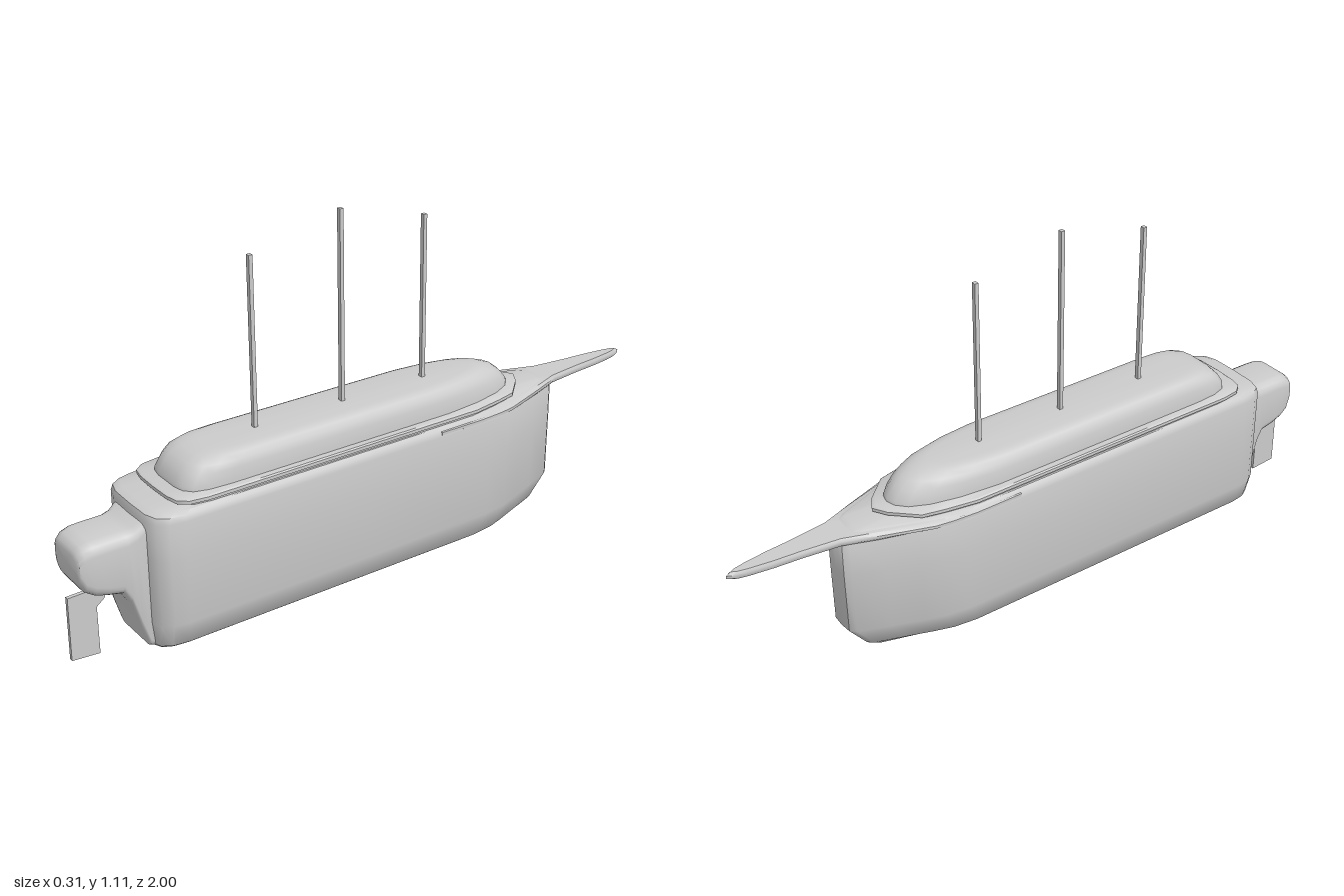
import * as THREE from 'three';
import { toCreasedNormals } from 'three/addons/utils/BufferGeometryUtils.js';

const material = new THREE.MeshStandardMaterial({ color: 0xcccccc });

// Skin a stack of closed rings of [x, y, z] points and cap both ends.
function loft(rings, crease = 0.75) {
  const n = rings[0].length;
  const pts = rings.flat();
  const index = [];
  for (let r = 0; r < rings.length - 1; r++) {
    for (let i = 0; i < n; i++) {
      const a = r * n + i, b = r * n + (i + 1) % n;
      index.push(a, b, b + n, a, b + n, a + n);
    }
  }
  for (const r of [0, rings.length - 1]) {
    const mid = [0, 1, 2].map(k => rings[r].reduce((s, p) => s + p[k], 0) / n);
    const c = pts.push(mid) - 1;
    for (let i = 0; i < n; i++) {
      const a = r * n + i, b = r * n + (i + 1) % n;
      if (r === 0) index.push(c, b, a);
      else index.push(c, a, b);
    }
  }
  // Turn the faces outward when the enclosed volume comes out negative
  let volume = 0;
  const v = pts.map(p => new THREE.Vector3(...p));
  for (let i = 0; i < index.length; i += 3) {
    volume += v[index[i]].dot(v[index[i + 1]].clone().cross(v[index[i + 2]]));
  }
  if (volume < 0) index.reverse();
  const geometry = new THREE.BufferGeometry();
  geometry.setAttribute('position', new THREE.Float32BufferAttribute(pts.flat(), 3));
  geometry.setIndex(index);
  return toCreasedNormals(geometry, crease);
}

// Horizontal ring: half plan outline [x, z], mirrored, fitted to a width and length.
function planRing(half, y, width, bow, stern) {
  const z0 = half[0][1], z1 = half[half.length - 1][1];
  const zMid = (z0 + z1) / 2;
  const right = half.map(([x, z]) => [
    x * width, y,
    z < zMid ? z + (bow - z0) * (zMid - z) / (zMid - z0)
             : z + (stern - z1) * (z - zMid) / (z1 - zMid),
  ]);
  const left = right.slice(1, -1).reverse().map(([x, yy, z]) => [-x, yy, z]);
  return [...right, ...left];
}
const planLoft = (half, levels) => loft(levels.map(l => planRing(half, ...l)));

// Upright rounded rectangle across the ship.
function section(z, halfWidth, bottom, top, radius) {
  const ring = [];
  const corners = [[1, 1], [-1, 1], [-1, -1], [1, -1]];
  corners.forEach(([sx, sy], q) => {
    for (let i = 0; i <= 4; i++) {
      const a = (q + i / 4) * Math.PI / 2;
      ring.push([
        sx * (halfWidth - radius) + radius * Math.cos(a),
        (sy > 0 ? top - radius : bottom + radius) + radius * Math.sin(a), z,
      ]);
    }
  });
  return ring;
}

export function createModel() {
  const model = new THREE.Group();
  const add = (name, geometry) => {
    const mesh = new THREE.Mesh(geometry, material);
    mesh.name = name;
    model.add(mesh);
    return mesh;
  };

  // Hull: tall slab sides, narrow bow, rounded bilge
  const hullPlan = [
    [0, -0.675], [0.25, -0.672], [0.35, -0.655], [0.58, -0.56], [0.8, -0.47], [0.93, -0.41], [1, -0.33],
    [1, 0.1], [1, 0.71], [0.95, 0.755], [0.82, 0.785], [0.55, 0.798], [0, 0.8],
  ];
  add('hull', planLoft(hullPlan, [
    [0.004, 0.085, -0.58, 0.775], [0.01, 0.11, -0.592, 0.785], [0.028, 0.134, -0.615, 0.797],
    [0.1, 0.153, -0.672, 0.8], [0.3, 0.153, -0.675, 0.8], [0.41, 0.153, -0.675, 0.8],
    [0.428, 0.149, -0.66, 0.795], [0.437, 0.14, -0.62, 0.775],
  ]));

  // Flat beak running forward from the deck
  const beakPlan = [
    [0, -1], [0.009, -0.985], [0.017, -0.95], [0.027, -0.88], [0.034, -0.8], [0.05, -0.68],
    [0.088, -0.58], [0.14, -0.43], [0.148, -0.38], [0.154, -0.3], [0.153, -0.15], [0, -0.12],
  ];
  add('beak', planLoft(beakPlan, [
    [0.409, 0.93, -0.985, -0.12], [0.416, 1, -1, -0.12],
    [0.425, 1, -1, -0.12], [0.433, 0.9, -0.985, -0.12],
  ]));

  // Stepped deck rim
  const deckPlan = [
    [0, -0.55], [0.3, -0.525], [0.77, -0.455], [0.88, -0.39], [1, -0.29],
    [1, 0.1], [1, 0.63], [0.94, 0.685], [0.78, 0.712], [0.5, 0.72], [0, 0.722],
  ];
  add('deckRim', planLoft(deckPlan, [
    [0.43, 0.134, -0.53, 0.705], [0.443, 0.134, -0.53, 0.705], [0.445, 0.141, -0.55, 0.722],
    [0.455, 0.141, -0.55, 0.722], [0.459, 0.137, -0.54, 0.715],
  ]));

  // Long rounded cabin
  const cabinPlan = [
    [0, -0.5], [0.25, -0.492], [0.5, -0.465], [0.72, -0.41], [0.9, -0.32], [1, -0.2],
    [1, 0.1], [1, 0.54], [0.96, 0.61], [0.85, 0.652], [0.65, 0.673], [0.35, 0.68], [0, 0.68],
  ];
  add('cabin', planLoft(cabinPlan, [
    [0.45, 0.118, -0.505, 0.682], [0.47, 0.117, -0.5, 0.68], [0.5, 0.114, -0.475, 0.66],
    [0.52, 0.108, -0.45, 0.64], [0.533, 0.098, -0.415, 0.61], [0.539, 0.085, -0.385, 0.58],
    [0.541, 0.07, -0.36, 0.56],
  ]));

  // Stern gallery with a fairing down to the keel
  add('sternGallery', loft([
    [0.76, 0.095, 0.01, 0.41, 0.02], [0.8, 0.09, 0.02, 0.4, 0.025], [0.82, 0.086, 0.08, 0.388, 0.03],
    [0.845, 0.084, 0.165, 0.384, 0.035], [0.865, 0.083, 0.2, 0.384, 0.035], [0.91, 0.083, 0.21, 0.384, 0.035],
    [0.945, 0.082, 0.222, 0.383, 0.035], [0.97, 0.079, 0.238, 0.376, 0.035],
    [0.985, 0.073, 0.262, 0.364, 0.035], [0.99, 0.062, 0.285, 0.35, 0.03],
  ].map(s => section(...s))));

  // Rudder: thin blade drawn in the side plane
  const blade = new THREE.Shape([
    [0.998, 0.205], [1, 0.01], [0.915, 0.003], [0.915, 0.15], [0.89, 0.17], [0.88, 0.208],
  ].map(([z, y]) => new THREE.Vector2(-z, y)));
  const rudder = new THREE.ExtrudeGeometry(blade, { depth: 0.012, bevelEnabled: false });
  rudder.translate(0, 0, -0.006).rotateY(Math.PI / 2);
  add('rudder', rudder);

  // Three square masts
  for (const [z, top] of [[0.395, 1.045], [0.1, 1.117], [-0.19, 1.045]]) {
    const height = top - 0.52;
    add('mast', new THREE.BoxGeometry(0.014, height, 0.012)).position.set(0, 0.52 + height / 2, z);
  }
  return model;
}
